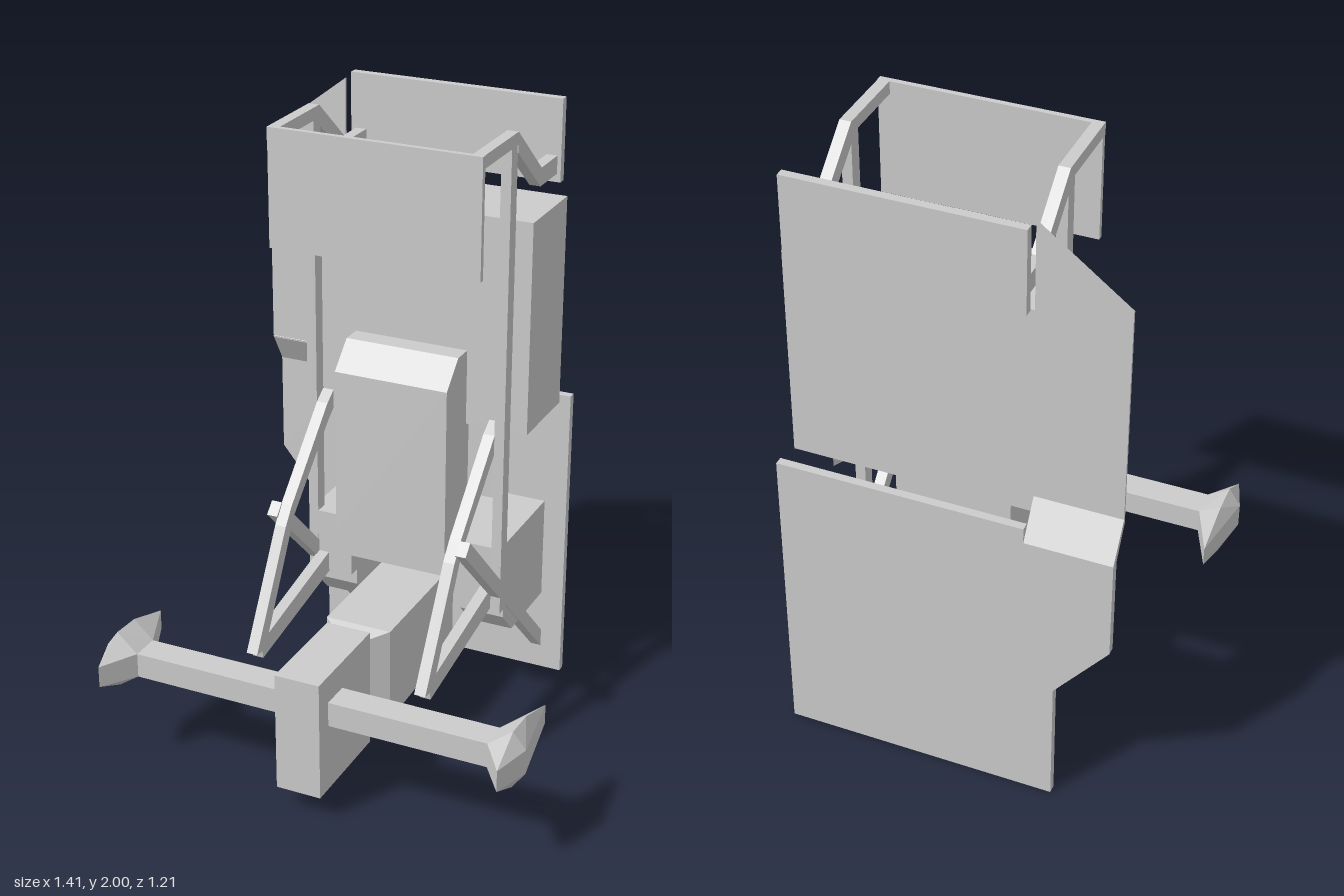
import * as THREE from 'three';
import { ConvexGeometry } from 'three/addons/geometries/ConvexGeometry.js';

const grey = new THREE.MeshStandardMaterial({ color: 0xcccccc, flatShading: true });

export function createModel() {
  const model = new THREE.Group();

  function add(name, geometry) {
    const mesh = new THREE.Mesh(geometry, grey);
    mesh.name = name;
    model.add(mesh);
  }
  // Box from its limits on each axis
  function box(name, x0, x1, y0, y1, z0, z1) {
    const g = new THREE.BoxGeometry(x1 - x0, y1 - y0, z1 - z0);
    add(name, g.translate((x0 + x1) / 2, (y0 + y1) / 2, (z0 + z1) / 2));
  }
  const shapeOf = (pts) => new THREE.Shape(pts.map(([a, b]) => new THREE.Vector2(a, b)));
  // Side profile of [z, y] points, extruded from x0 to x1
  function side(name, pts, x0, x1) {
    const g = new THREE.ExtrudeGeometry(shapeOf(pts), { depth: x1 - x0, bevelEnabled: false });
    add(name, g.rotateY(-Math.PI / 2).translate(x1, 0, 0));
  }
  // The same profile on both sides of the model
  function sidePair(name, pts, x0, x1) {
    side(name + 'Left', pts, x0, x1);
    side(name + 'Right', pts, -x1, -x0);
  }
  // Front profile of [x, y] points, extruded from z0 to z1
  function front(name, pts, z0, z1) {
    const g = new THREE.ExtrudeGeometry(shapeOf(pts), { depth: z1 - z0, bevelEnabled: false });
    add(name, g.translate(0, 0, z0));
  }
  // Hull of rectangular sections [z, halfWidth, yBottom, yTop]
  function loft(name, sections) {
    const pts = [];
    for (const [z, w, y0, y1] of sections)
      for (const x of [-w, w]) for (const y of [y0, y1]) pts.push(new THREE.Vector3(x, y, z));
    add(name, new ConvexGeometry(pts));
  }

  // Rear panels: large lower plate, sloped joint, thin upper wing
  front('lowerBackPanel', [[-0.465, 0], [0.412, 0], [0.412, 1.02], [-0.365, 1.02],
    [-0.365, 0.97], [-0.635, 0.97], [-0.635, 0.64], [-0.465, 0.43]], -0.605, -0.578);
  side('panelJoint', [[-0.605, 0.97], [-0.578, 0.97], [-0.52, 1.07], [-0.528, 1.085]], -0.635, -0.365);
  front('upperWingPanel', [[-0.635, 1.065], [-0.36, 1.065], [-0.36, 1.99], [-0.635, 1.78]], -0.529, -0.521);

  // Upper storage box
  box('storageBox', -0.36, 0.395, 1.02, 1.71, -0.521, -0.243);

  // Top frame with a panel at each end
  box('topRearPanel', -0.36, 0.355, 1.735, 2, -0.59, -0.562);
  box('topFrontPanel', -0.342, 0.345, 1.61, 1.985, 0.018, 0.036);
  sidePair('topRail', [[0.036, 1.945], [0.036, 1.985], [-0.235, 1.985], [-0.43, 1.82],
    [-0.565, 1.82], [-0.565, 1.762], [-0.425, 1.762], [-0.235, 1.92], [-0.235, 1.945]], 0.307, 0.343);
  sidePair('post', [[-0.24, 0.4], [-0.194, 0.4], [-0.194, 1.96], [-0.24, 1.96]], 0.307, 0.34);

  // Seat back
  side('seat', [[-0.09, 0.63], [-0.09, 1.185], [-0.175, 1.267], [-0.265, 1.267], [-0.265, 0.63]], -0.19, 0.19);

  // Lower body, open underneath for the centre beam
  sidePair('bodySide', [[-0.195, 0.63], [-0.58, 0.63], [-0.58, 0.285], [-0.31, 0.285],
    [-0.235, 0.365], [-0.235, 0.42], [-0.195, 0.42]], 0.187, 0.336);
  box('bodyBridge', -0.188, 0.188, 0.49, 0.63, -0.525, -0.195);

  // Side struts
  sidePair('bentStrut', [[0.31, 0.36], [0.103, 0.715], [0.06, 0.77], [-0.195, 1.02], [-0.24, 1.05],
    [-0.24, 0.99], [-0.195, 0.955], [0.045, 0.73], [0.255, 0.355]], 0.27, 0.307);
  sidePair('lowerArm', [[0.27, 0.33], [0.28, 0.39], [-0.2, 0.485], [-0.23, 0.42]], 0.27, 0.307);
  sidePair('rearStrut', [[0.095, 0.74], [0.06, 0.775], [-0.6, 0.12], [-0.6, 0.06]], 0.305, 0.34);

  // Centre beam and front block
  loft('centreBeam', [[-0.35, 0.11, 0.15, 0.45], [0.14, 0.11, 0.13, 0.45], [0.182, 0.055, 0.25, 0.43]]);
  loft('frontBlock', [[0.178, 0.055, 0.25, 0.43], [0.21, 0.074, 0.08, 0.475], [0.56, 0.074, 0.08, 0.475]]);

  // Cross axle with faceted ends
  box('axle', -0.6, 0.6, 0.304, 0.385, 0.405, 0.5);
  const rim = [[0.607, 0.305], [0.607, 0.375], [0.49, 0.44], [0.39, 0.435],
    [0.23, 0.385], [0.23, 0.32], [0.39, 0.25], [0.49, 0.25]];
  for (const s of [1, -1]) {
    const pts = rim.map(([z, y]) => new THREE.Vector3(s * 0.665, y, z));
    for (const y of [0.304, 0.385]) {
      for (const z of [0.405, 0.5]) pts.push(new THREE.Vector3(s * 0.59, y, z));
      pts.push(new THREE.Vector3(s * 0.705, y, 0.485));
    }
    add(s > 0 ? 'axleEndLeft' : 'axleEndRight', new ConvexGeometry(pts));
  }

  return model;
}
